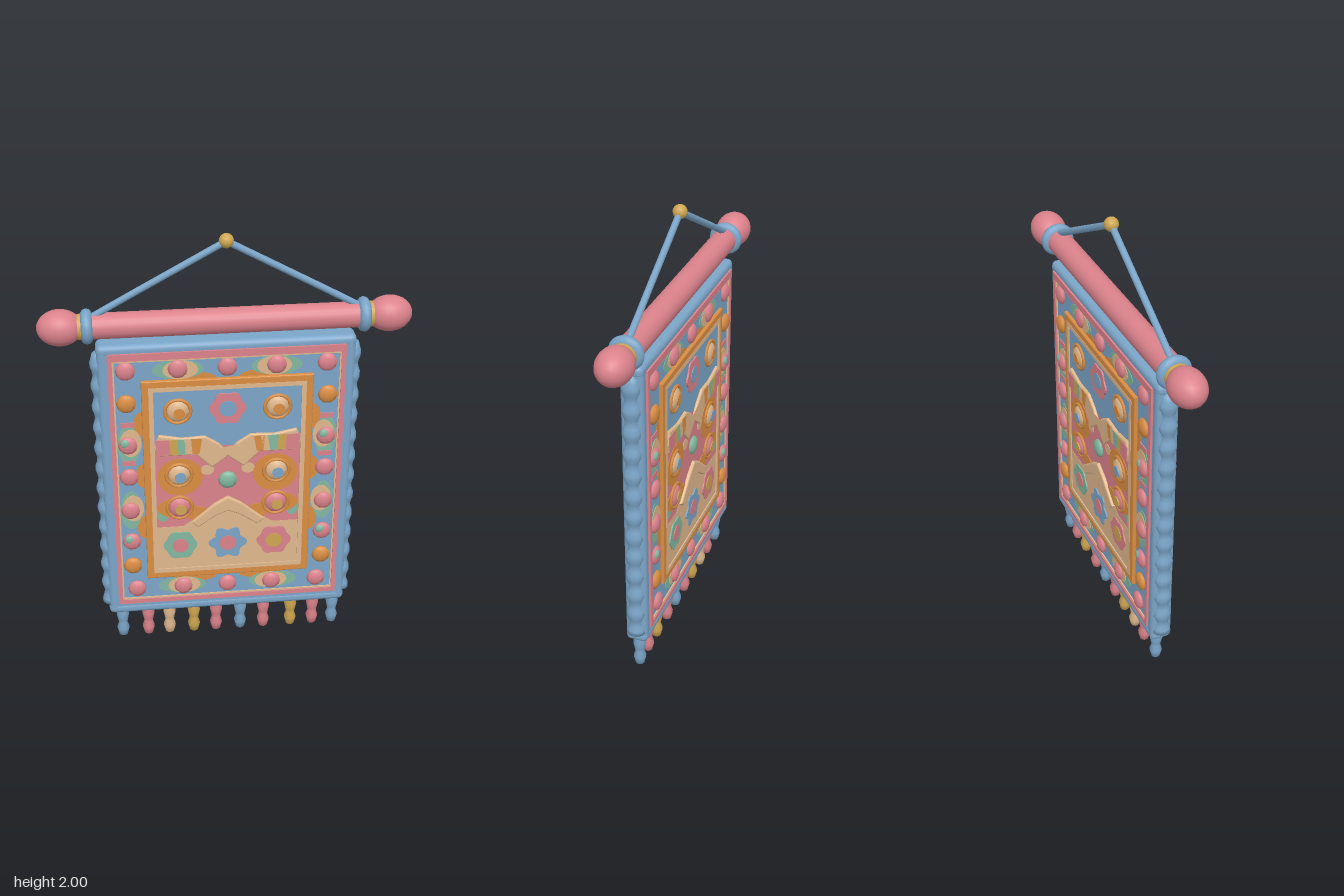
import * as THREE from 'three';
import { RoundedBoxGeometry } from 'three/addons/geometries/RoundedBoxGeometry.js';

const paint = (name, color) => {
  const m = new THREE.MeshStandardMaterial({ color });
  m.name = name;
  return m;
};

export function createModel() {
  const blue = paint('blue', 0x7ba5c8), pink = paint('pink', 0xdb828b), orange = paint('orange', 0xd98d42),
    tan = paint('tan', 0xdfb78d), gold = paint('gold', 0xcfa651), teal = paint('teal', 0x82b8a0);
  const root = new THREE.Group();
  root.name = 'wallHanging';

  const add = (parent, name, geo, mat, x = 0, y = 0, z = 0) => {
    const m = new THREE.Mesh(geo, mat);
    m.name = name;
    m.position.set(x, y, z);
    parent.add(m);
    return m;
  };
  const rect = (x0, y0, x1, y1) => new THREE.Shape(
    [[x0, y0], [x1, y0], [x1, y1], [x0, y1]].map(p => new THREE.Vector2(...p)));
  const poly = pts => new THREE.Shape(pts.map(p => new THREE.Vector2(...p)));
  const ringRect = (o, i) => { const s = rect(...o); s.holes.push(rect(...i)); return s; };
  const ellipse = (x, y, rx, ry = rx) => new THREE.Shape().absellipse(x, y, rx, ry, 0, Math.PI * 2);
  // Flower outline with n soft petals
  const flower = (x, y, r, n, wave) => poly(Array.from({ length: n * 6 }, (_, i) => {
    const a = i / (n * 6) * Math.PI * 2, q = r * (1 + wave * Math.cos(n * a + Math.PI));
    return [x + q * Math.sin(a), y + q * Math.cos(a)];
  }));
  const extrude = (shape, depth, bevel = 0) => new THREE.ExtrudeGeometry(shape, {
    depth, curveSegments: 10, bevelEnabled: bevel > 0, bevelSize: bevel, bevelThickness: bevel,
    bevelOffset: -bevel, bevelSegments: 3 });

  // Rod with collars and rounded ends
  add(root, 'rod', new THREE.CylinderGeometry(0.055, 0.055, 1.16, 24), pink, 0, 1.62).rotation.z = Math.PI / 2;
  for (const s of [-1, 1]) {
    add(root, 'rodCollar', new THREE.TorusGeometry(0.05, 0.025, 10, 24), blue, s * 0.58, 1.62).rotation.y = Math.PI / 2;
    add(root, 'rodCollarBand', new THREE.CylinderGeometry(0.054, 0.054, 0.02, 20), gold, s * 0.608, 1.62).rotation.z = Math.PI / 2;
    add(root, 'rodFinial', new THREE.SphereGeometry(0.077, 20, 14), pink, s * 0.69, 1.62).scale.x = 1.26;
    const cord = new THREE.CatmullRomCurve3([[0, 1.97], [0.2, 1.86], [0.4, 1.75], [0.57, 1.655]]
      .map(([x, y]) => new THREE.Vector3(s * x, y, 0)));
    add(root, 'hangingCord', new THREE.TubeGeometry(cord, 12, 0.015, 8), blue);
  }
  add(root, 'hangingKnob', new THREE.SphereGeometry(0.031, 14, 10), gold, 0, 1.972);

  // Thick cloth body with rolled border
  add(root, 'clothCore', new THREE.BoxGeometry(1.04, 1.3, 0.096), blue, 0, 0.855);
  add(root, 'topHem', new RoundedBoxGeometry(1.1, 0.055, 0.1, 3, 0.024), blue, 0, 1.517);
  add(root, 'bottomHem', new RoundedBoxGeometry(1.1, 0.055, 0.1, 3, 0.024), blue, 0, 0.19);
  const wavy = Array.from({ length: 66 }, (_, i) => new THREE.Vector2(
    i === 0 || i === 65 ? 0.001 : 0.03 + 0.006 * Math.sin(i * 1.25), 0.195 + 1.32 * i / 65));
  for (const s of [-1, 1]) {
    add(root, 'sideHem', new RoundedBoxGeometry(0.05, 1.38, 0.1, 3, 0.024), blue, s * 0.523, 0.853);
    add(root, 'wavyEdge', new THREE.LatheGeometry(wavy, 12), blue, s * 0.543).scale.z = 1.15;
  }

  // Fringe tassels
  const tasselProfile = [[0.001, 0.005], [0.02, 0.012], [0.029, 0.05], [0.02, 0.078], [0.024, 0.1], [0.03, 0.13], [0.024, 0.175]]
    .map(p => new THREE.Vector2(...p));
  const tassels = [[-0.49, blue], [-0.37, pink], [-0.27, tan], [-0.155, gold], [-0.05, pink],
    [0.065, blue], [0.175, pink], [0.305, gold], [0.41, pink], [0.505, blue]];
  for (const [x, mat] of tassels) add(root, 'tassel', new THREE.LatheGeometry(tasselProfile, 10), mat, x);

  // Decorated face, shared by both sides
  const face = new THREE.Group();
  face.name = 'decoratedFace';
  const plate = (name, shape, mat, z, depth = 0.004) => add(face, name, extrude(shape, depth), mat, 0, 0, z);
  plate('pinkTrim', ringRect([-0.505, 0.225, 0.505, 1.51], [-0.485, 0.247, 0.485, 1.478]), pink, 0.044, 0.014);
  plate('tanTrim', ringRect([-0.488, 0.244, 0.488, 1.481], [-0.478, 0.254, 0.478, 1.47]), tan, 0.044, 0.01);

  // Coloured patches on the border
  for (const s of [-1, 1]) {
    for (const y of [1.425, 0.31]) {
      plate('tealPatch', ellipse(s * 0.21, y, 0.11, 0.044), teal, 0.046);
      plate('tanPatch', ellipse(s * 0.2, y, 0.075, 0.044), tan, 0.048);
      plate('orangePatch', ellipse(s * 0.15, y + (y > 1 ? -0.045 : 0.045), 0.1, 0.03), orange, 0.045);
    }
    for (const y of [1.07, 0.735]) {
      plate('tealPatch', ellipse(s * 0.43, y, 0.047, 0.1), teal, 0.046);
      plate('tanPatch', ellipse(s * 0.42, y + 0.01, 0.047, 0.068), tan, 0.048);
    }
    for (const y of [1.17, 0.91, 0.64]) plate('orangePatch', ellipse(s * 0.37, y, 0.035, 0.06), orange, 0.045);
    for (const y of [1.17, 0.98]) plate('pinkPatch', rect(s * 0.43 - 0.03, y - 0.012, s * 0.43 + 0.03, y + 0.012), pink, 0.049);
  }

  // Central picture: frame and three bands
  add(face, 'pictureFrame', extrude(ringRect([-0.368, 0.365, 0.368, 1.38], [-0.325, 0.405, 0.325, 1.335]), 0.012, 0.005), orange, 0, 0, 0.047);
  plate('pictureEdge', ringRect([-0.338, 0.395, 0.338, 1.35], [-0.318, 0.415, 0.318, 1.33]), tan, 0.06, 0.0055);
  plate('skyBand', rect(-0.325, 1.05, 0.325, 1.34), blue, 0.053);
  plate('pinkBand', rect(-0.325, 0.64, 0.325, 1.05), pink, 0.053);
  plate('tanBand', poly([[-0.325, 0.4], [0.325, 0.4], [0.325, 0.64], [0.2, 0.64], [0.12, 0.7], [0, 0.73],
    [-0.12, 0.7], [-0.2, 0.64], [-0.325, 0.64]]), tan, 0.054);

  // Spread wing relief with painted stripes
  const half = [[0.04, 1.065], [0.1, 1.105], [0.2, 1.1], [0.3, 1.12], [0.322, 1.06], [0.305, 1.015], [0.14, 1.015], [0.07, 0.945]];
  const mirror = pts => pts.map(([x, y]) => [-x, y]).reverse();
  add(face, 'wings', extrude(poly([[0, 1.02], ...half, [0, 1.0], ...mirror(half)].reverse()), 0.012, 0.008), tan, 0, 0, 0.05);
  const stripes = [[0.125, orange], [0.155, tan], [0.185, teal], [0.215, gold], [0.25, pink], [0.31, pink]];
  for (const s of [-1, 1]) for (let i = 0; i < 5; i++) {
    const a = s * stripes[i][0], b = s * stripes[i + 1][0];
    plate('wingStripe', poly([[a, 1.022], [b, 1.022], [b + s * 0.006, 1.098], [a - s * 0.012, 1.096]]), stripes[i][1], 0.069, 0.003);
  }

  // Bent tan relief below the centre, with orange tips
  const bend = [[0.06, 0.755], [0.165, 0.665], [0.135, 0.635], [0.05, 0.695]];
  add(face, 'chevron', extrude(poly([[0, 0.79], ...bend, [0, 0.715], ...mirror(bend)].reverse()), 0.01, 0.008), tan, 0, 0, 0.054);
  for (const s of [-1, 1]) {
    plate('orangePatch', ellipse(s * 0.13, 0.7, 0.05, 0.04), orange, 0.056);
    plate('tealPatch', ellipse(s * 0.29, 0.72, 0.03, 0.05), teal, 0.055);
    plate('orangePatch', ellipse(s * 0.21, 0.9, 0.1, 0.095), orange, 0.055);
    plate('orangePatch', ellipse(s * 0.23, 0.74, 0.085, 0.05), orange, 0.0555);
    plate('tanPatch', ellipse(s * 0.09, 0.93, 0.03, 0.025), tan, 0.055);
  }

  // Flowers
  const flowers = [[0, 1.235, 0.075, 6, 0.08, pink, blue], [-0.215, 0.54, 0.072, 6, 0.06, teal, pink],
    [0, 0.54, 0.077, 6, 0.15, blue, pink], [0.21, 0.54, 0.073, 6, 0.08, pink, gold]];
  for (const [x, y, r, n, w, petal, centre] of flowers) {
    plate('flowerPetals', flower(x, y, r, n, w), petal, 0.056, 0.008);
    plate('flowerCentre', ellipse(x, y, r * 0.5), centre, 0.061, 0.006);
  }

  // Beads: faceted domes, some in a rim
  const beadGeo = new THREE.SphereGeometry(0.043, 9, 6);
  const bead = (x, y, mat, z = 0.052, k = 1) => add(face, 'bead', beadGeo, mat, x, y, z).scale.set(k, k, 0.46 * k);
  const column = [[1.275, orange], [1.07, pink], [0.91, pink], [0.735, pink], [0.57, pink], [0.437, orange]];
  for (const s of [-1, 1]) for (const [y, mat] of column) {
    bead(s * 0.432, y, mat);
    if (y === 0.57 || y === 1.07) add(face, 'beadCap', new THREE.SphereGeometry(0.022, 8, 6), teal, s * 0.432 - 0.012, y + 0.014, 0.061).scale.z = 0.55;
  }
  for (const x of [-0.43, -0.21, 0, 0.21, 0.425]) { bead(x, 1.43, pink); bead(x * 0.97, 0.307, pink); }
  bead(0, 0.875, teal, 0.06);
  for (const s of [-1, 1]) for (const [y, dome, eye] of [[1.23, tan, orange], [0.91, tan, blue], [0.742, pink, gold]]) {
    add(face, 'beadRim', new THREE.TorusGeometry(0.056, 0.008, 6, 16), orange, s * 0.215, y, 0.059);
    bead(s * 0.215, y, dome, 0.054, 1.2);
    plate('beadEye', ellipse(s * 0.215 + 0.005, y - 0.004, 0.025), eye, 0.072, 0.006);
  }

  const back = face.clone();
  back.name = 'decoratedBack';
  back.rotation.y = Math.PI;
  root.add(face, back);
  return root;
}
